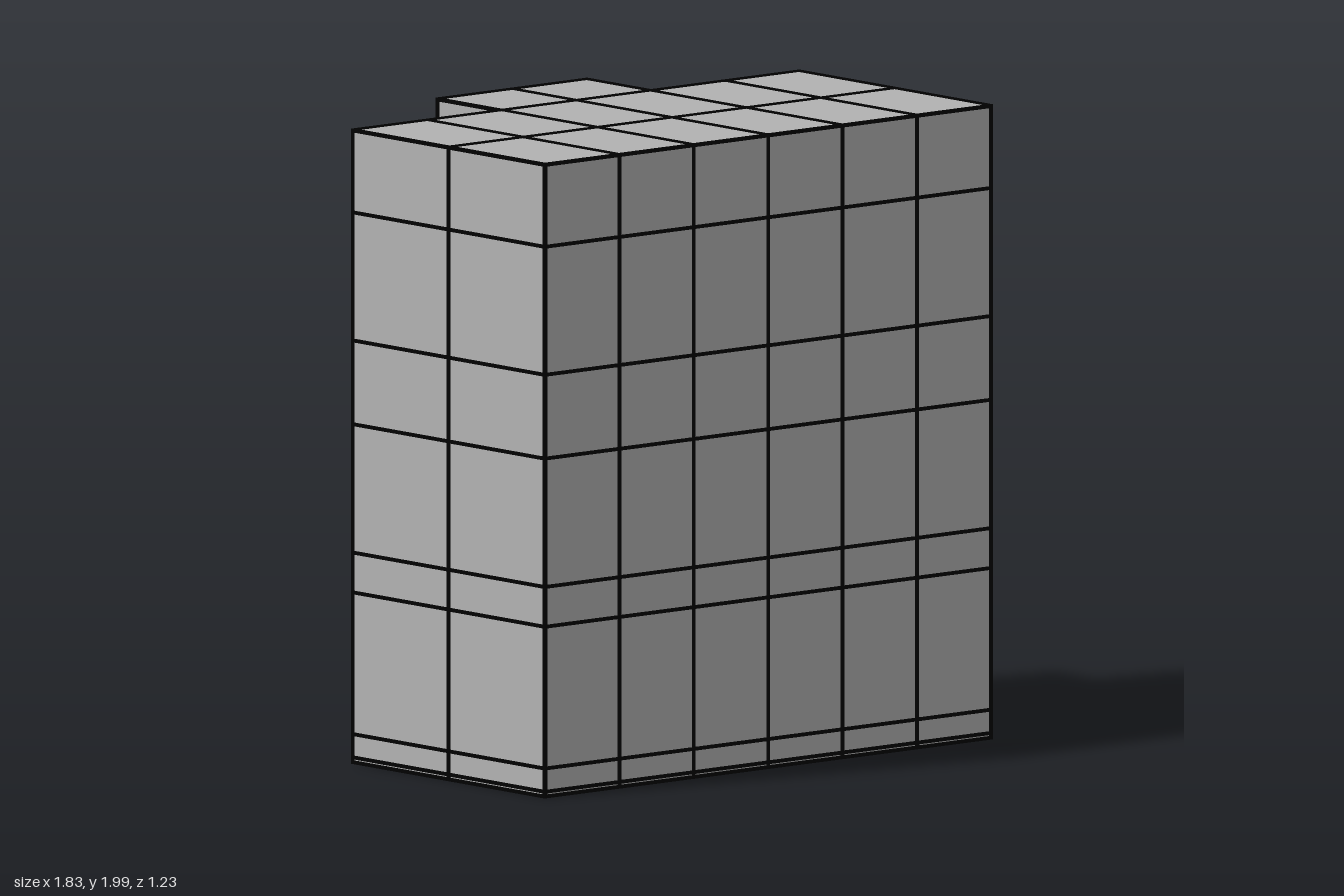
import * as THREE from 'three';

export function createModel() {
  const model = new THREE.Group();
  const grey = new THREE.MeshStandardMaterial({ name: 'panelGrey', color: 0xb2b2b2 });
  const black = new THREE.MeshStandardMaterial({ name: 'seamBlack', color: 0x000000 });

  const W = 0.91, S = 0.304, BACK = -0.608, MID = -0.304, FRONT = 0.608;
  const BOTTOM = 0.012, TOP = 1.995, T = 0.011;

  // T-shaped plan as a closed loop of [x, z]
  const plan = [[-W, FRONT], [W, FRONT], [W, MID], [S, MID], [S, BACK], [-S, BACK], [-S, MID], [-W, MID]];

  // Solid body
  const shape = new THREE.Shape(plan.map(([x, z]) => new THREE.Vector2(x, -z)));
  const bodyGeo = new THREE.ExtrudeGeometry(shape, { depth: TOP - BOTTOM, bevelEnabled: false });
  bodyGeo.rotateX(-Math.PI / 2);
  bodyGeo.translate(0, BOTTOM, 0);
  const body = new THREE.Mesh(bodyGeo, grey);
  body.name = 'body';
  model.add(body);

  // Thin bar spanning two points along one axis
  const bar = (group, a, b) => {
    const size = a.map((v, i) => Math.abs(b[i] - v) + T);
    const mesh = new THREE.Mesh(new THREE.BoxGeometry(...size), black);
    mesh.position.set(...a.map((v, i) => (v + b[i]) / 2));
    mesh.name = 'seam';
    group.add(mesh);
  };
  const addGroup = (name) => {
    const group = new THREE.Group();
    group.name = name;
    model.add(group);
    return group;
  };

  // Horizontal seams around the outline
  const rings = addGroup('horizontalSeams');
  for (const y of [BOTTOM, 0.027, 0.1, 0.545, 0.67, 1.073, 1.336, 1.738, TOP]) {
    plan.forEach(([x, z], i) => {
      const [x2, z2] = plan[(i + 1) % plan.length];
      bar(rings, [x, y, z], [x2, y, z2]);
    });
  }

  // Vertical seams at corners and between panels
  const posts = addGroup('verticalSeams');
  const nodes = [...plan, [0, FRONT], [0, BACK]];
  for (const s of [-1, 1]) {
    nodes.push([s * S, FRONT], [s * 2 * S, FRONT], [s * 2 * S, MID], [s * W, 0.152]);
  }
  for (const [x, z] of nodes) bar(posts, [x, BOTTOM, z], [x, TOP, z]);

  // Grid seams on the top and underside
  const grid = addGroup('capSeams');
  for (const y of [BOTTOM, TOP]) {
    for (const k of [-2, -1, 0, 1, 2]) {
      bar(grid, [k * S, y, Math.abs(k) === 2 ? MID : BACK], [k * S, y, FRONT]);
    }
    for (const z of [MID, 0.152]) bar(grid, [-W, y, z], [W, y, z]);
  }
  return model;
}
